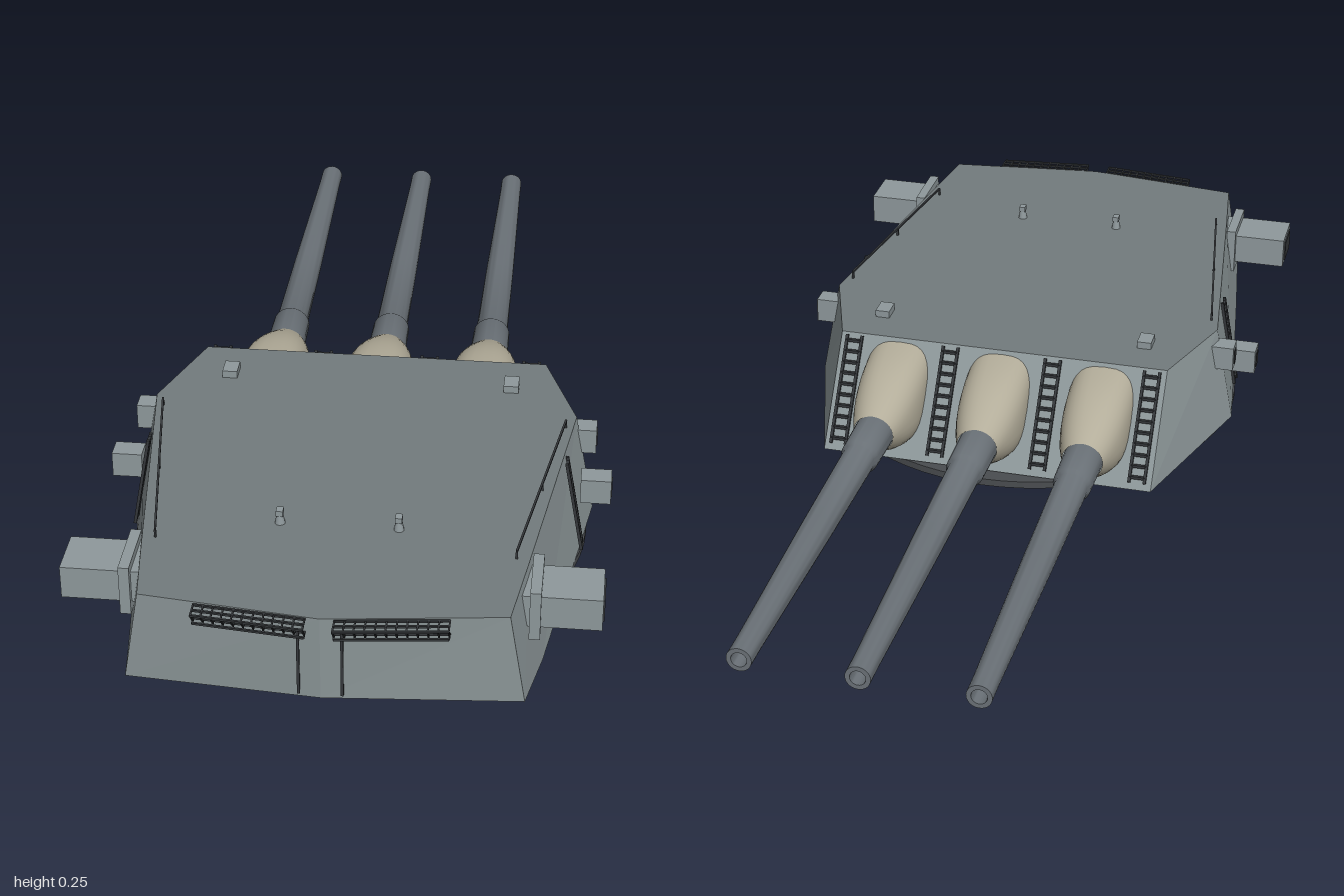
import * as THREE from 'three';
import { toCreasedNormals } from 'three/addons/utils/BufferGeometryUtils.js';
import { ParametricGeometry } from 'three/addons/geometries/ParametricGeometry.js';

const mat = (color, flatShading = false) => new THREE.MeshStandardMaterial({ color, flatShading });
const hullMat = mat(0x8b9597, true), roofMat = mat(0x737b7d, true), gunMat = mat(0x6a7177);
const canvasMat = mat(0xb3ad9a), darkMat = mat(0x34373a), fitMat = mat(0x8f999c), baseMat = mat(0x4a4d50);
const V = (x, y, z) => new THREE.Vector3(x, y, z);
const { lerp } = THREE.MathUtils;

function add(parent, name, geometry, material, x = 0, y = 0, z = 0) {
  const m = new THREE.Mesh(geometry, material);
  m.name = name;
  m.position.set(x, y, z);
  parent.add(m);
  return m;
}
const box = (parent, name, w, h, d, x, y, z, material = fitMat) =>
  add(parent, name, new THREE.BoxGeometry(w, h, d), material, x, y, z);

// Thin square bar between two points
function bar(parent, name, a, b, t, material = darkMat) {
  const m = box(parent, name, t, t, a.distanceTo(b), 0, 0, 0, material);
  m.position.copy(a).lerp(b, 0.5);
  m.lookAt(b);
}

// Ladder along a line, rails spread by the vector across
function ladder(parent, name, a, b, across, rungs) {
  const g = new THREE.Group();
  g.name = name;
  const at = (t, s) => a.clone().lerp(b, t).addScaledVector(across, s);
  for (const s of [-1, 1]) bar(g, 'ladderRail', at(0, s), at(1, s), 0.006);
  for (let i = 0; i < rungs; i++) {
    const t = (i + 0.5) / rungs;
    bar(g, 'ladderRung', at(t, -1), at(t, 1), 0.006);
  }
  parent.add(g);
}

// Flat polygons as triangle fans
function polygons(faces) {
  const pos = [];
  for (const f of faces)
    for (let i = 1; i < f.length - 1; i++)
      for (const p of [f[0], f[i], f[i + 1]]) pos.push(p.x, p.y, p.z);
  const g = new THREE.BufferGeometry();
  g.setAttribute('position', new THREE.Float32BufferAttribute(pos, 3));
  g.computeVertexNormals();
  return g;
}

// Right-hand half outline, mirrored to a closed ring
function ring(half) {
  const pts = half.map(p => V(...p));
  const other = pts.slice(0, -1).reverse().map(p => V(-p.x, p.y, p.z));
  return [...pts, ...other];
}

// Side wall position at depth z and height y
const wallX = (z, y) => {
  const t = (z - 0.24) / 0.68, h = (y - 0.015) / 0.207;
  return lerp(lerp(0.46, 0.36, t), lerp(0.42, 0.33, t), h);
};

function addHull(root) {
  const R = 0.222;
  const lo = ring([[0.35, 0.018, -0.11], [0.46, 0.015, 0.24], [0.385, 0.015, 0.76], [0.36, 0.04, 0.92], [0, 0.05, 0.96]]);
  const hi = ring([[0.35, R, 0.04], [0.42, R, 0.24], [0.352, R, 0.76], [0.33, R, 0.92], [0, R, 0.96]]);
  const n = lo.length;
  const faces = lo.map((p, i) => [lo[(i + 1) % n], p, hi[i], hi[(i + 1) % n]]);
  faces.push([0, 1, 2, 6, 7, 8].map(i => lo[i]), [4, 5, 6, 2, 3].map(i => lo[i]));
  add(root, 'armouredHull', polygons(faces), hullMat);
  add(root, 'roof', polygons([[...hi].reverse()]), roofMat);
  add(root, 'baseRing', new THREE.CylinderGeometry(0.45, 0.45, 0.015, 64), baseMat, 0, 0.0075, 0.31);
}

// Canvas cover lofted from the sloping face to a round collar
function coverGeometry() {
  const rpow = (c, p) => Math.sign(c) * Math.abs(c) ** p;
  return new ParametricGeometry((u, v, out) => {
    const a = -2 * Math.PI * u, p = lerp(0.65, 1, v);
    const bulge = 0.012 * Math.sin(Math.PI * v);
    const topY = lerp(0.215, 0.152, v) + bulge, topZ = lerp(0.035, -0.175, v);
    const botY = lerp(0.04, 0.07, v) - bulge * 0.5, botZ = lerp(-0.09, -0.175, v);
    const t = (rpow(Math.sin(a), p) + 1) / 2;
    const w = 0.042 + 0.028 * (1 - v * v);
    out.set(w * rpow(Math.cos(a), p), lerp(botY, topY, t), lerp(botZ, topZ, t));
  }, 32, 10);
}

function addGuns(root) {
  const profile = [[0.041, 0], [0.039, 0.12], [0.034, 0.13], [0.031, 0.4], [0.024, 0.8], [0.024, 0.85], [0.015, 0.85], [0.015, 0.8]];
  const barrel = toCreasedNormals(
    new THREE.LatheGeometry(profile.map(p => new THREE.Vector2(...p)), 28).rotateX(-Math.PI / 2), 0.5);
  const cover = coverGeometry();
  for (const x of [-0.22, 0, 0.22]) {
    add(root, 'canvasCover', cover, canvasMat, x);
    const gun = new THREE.Group();
    gun.name = 'gun';
    gun.position.set(x, 0.11, -0.15);
    gun.rotation.x = 0.015;
    add(gun, 'barrel', barrel, gunMat);
    add(gun, 'bore', new THREE.CircleGeometry(0.016, 20).rotateY(Math.PI), darkMat, 0, 0, -0.81).rotation.y = 0;
    gun.children[1].rotation.y = 0;
    root.add(gun);
  }
}

// Fittings repeated on both sides
function addSide(root, s) {
  const g = new THREE.Group();
  g.name = s > 0 ? 'leftFittings' : 'rightFittings';

  // Rangefinder ear
  box(g, 'rangefinderPlate', 0.02, 0.1, 0.125, s * 0.37, 0.17, 0.78);
  box(g, 'rangefinderArm', 0.15, 0.065, 0.1, s * 0.415, 0.172, 0.78);
  box(g, 'rangefinderWindow', 0.004, 0.045, 0.07, s * 0.491, 0.172, 0.78, darkMat);

  // Sighting boxes
  box(g, 'rearSightBox', 0.06, 0.052, 0.045, s * 0.465, 0.118, 0.325);
  box(g, 'rearSightWindow', 0.004, 0.03, 0.025, s * 0.495, 0.118, 0.325, darkMat);
  box(g, 'frontSightBox', 0.05, 0.052, 0.042, s * 0.436, 0.172, 0.228);
  box(g, 'frontSightWindow', 0.004, 0.03, 0.022, s * 0.461, 0.172, 0.228, darkMat);

  // Side ladder and ladders on the gun face
  const side = y => V(s * (wallX(0.39, y) + 0.006), y, 0.39);
  ladder(g, 'sideLadder', side(0.02), side(0.215), V(0, 0, 0.013), 11);
  for (const x of [0.11, 0.32])
    ladder(g, 'faceLadder', V(s * x, 0.033, -0.107), V(s * x, 0.22, 0.032), V(0.016, 0, 0), 10);

  // Roof handrail, hatch box and periscope
  const rail = (t, y) => V(s * lerp(0.4, 0.33, t), y, lerp(0.28, 0.74, t));
  bar(g, 'handrail', rail(0, 0.238), rail(1, 0.238), 0.004);
  for (const t of [0, 0.5, 1]) bar(g, 'handrailPost', rail(t, 0.22), rail(t, 0.238), 0.004);
  box(g, 'roofBox', 0.03, 0.016, 0.042, s * 0.285, 0.229, 0.14);
  add(g, 'periscopeStem', new THREE.CylinderGeometry(0.006, 0.01, 0.022, 10), fitMat, s * 0.11, 0.232, 0.67);
  box(g, 'periscopeHead', 0.013, 0.011, 0.017, s * 0.11, 0.246, 0.67);

  // Rear rack: slatted tray following the back wall
  const rack = (x, y, out) => V(s * x, y, 0.962 - x * 0.111 + out);
  for (const [y, o] of [[0.22, 0.002], [0.22, 0.018], [0.22, 0.034], [0.192, 0.002], [0.192, 0.018]])
    bar(g, 'rackRail', rack(0.026, y, o), rack(0.226, y, o), 0.004);
  for (let i = 0; i <= 11; i++) {
    const x = 0.026 + i * 0.2 / 11;
    bar(g, 'rackSlat', rack(x, 0.22, 0), rack(x, 0.22, 0.036), 0.003);
    bar(g, 'rackUpright', rack(x, 0.192, 0.01), rack(x, 0.22, 0.034), 0.003);
    bar(g, 'rackBracket', rack(x, 0.192, 0), rack(x, 0.192, 0.018), 0.003);
  }
  bar(g, 'rearGrabRod', rack(0.039, 0.06, 0.004), rack(0.039, 0.195, 0.004), 0.005);
  root.add(g);
}

export function createModel() {
  const root = new THREE.Group();
  root.name = 'gunTurret';
  addHull(root);
  addGuns(root);
  for (const s of [-1, 1]) addSide(root, s);
  return root;
}
